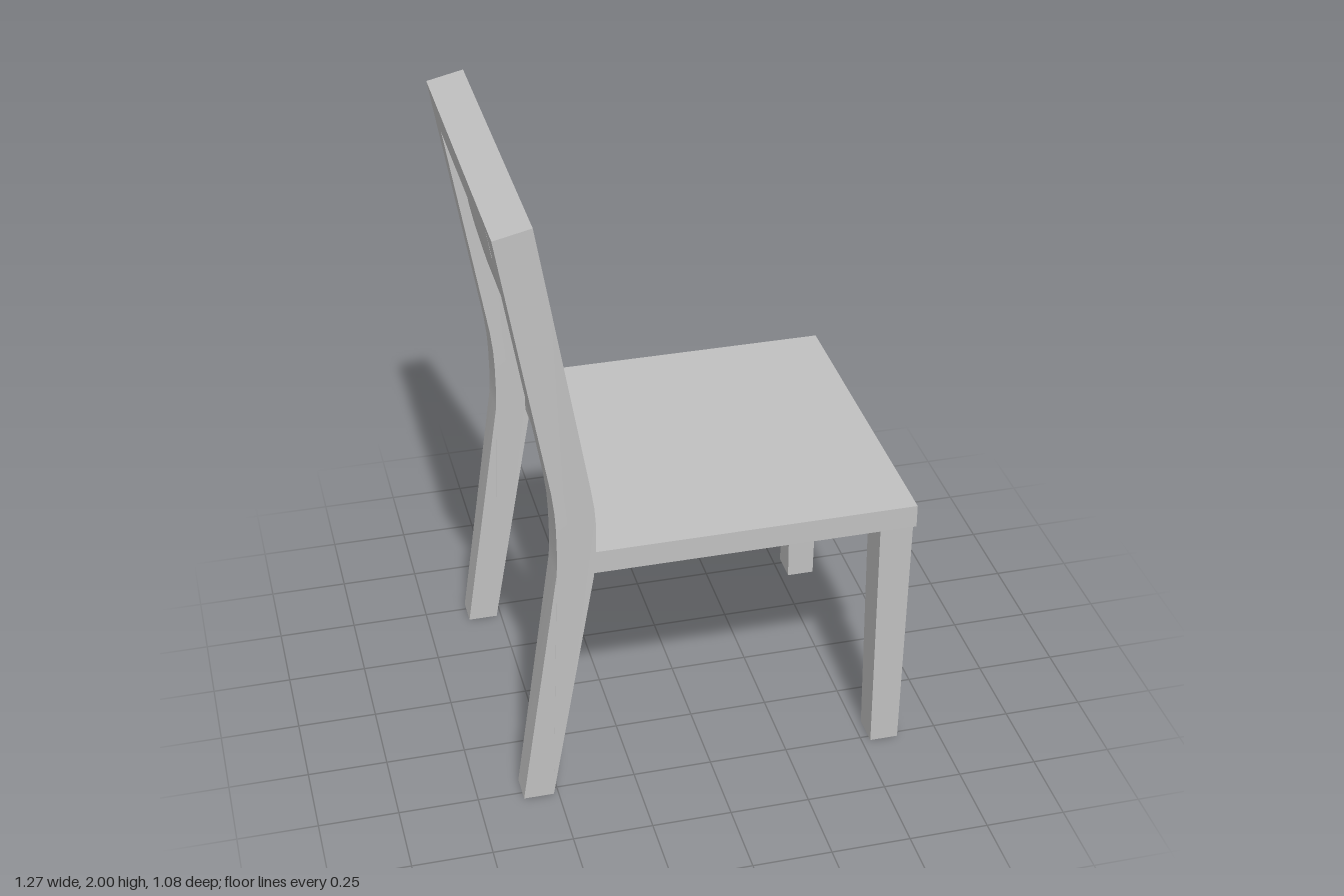
import * as THREE from 'three';
import { toCreasedNormals } from 'three/addons/utils/BufferGeometryUtils.js';

const grey = new THREE.MeshStandardMaterial({ color: 0xc0c0c0 });
grey.name = 'light grey';

// Side profile (x, y points) extruded along z between z0 and z1
function extrudeZ(points, z0, z1) {
  const shape = new THREE.Shape(points.map(([x, y]) => new THREE.Vector2(x, y)));
  const geo = new THREE.ExtrudeGeometry(shape, { depth: z1 - z0, bevelEnabled: false });
  return geo.translate(0, 0, z0);
}

// Box given by its lower and upper corners
function boxBetween(x0, y0, z0, x1, y1, z1) {
  const geo = new THREE.BoxGeometry(x1 - x0, y1 - y0, z1 - z0);
  return geo.translate((x0 + x1) / 2, (y0 + y1) / 2, (z0 + z1) / 2);
}

export function createModel() {
  const group = new THREE.Group();
  const add = (name, geo) => {
    const mesh = new THREE.Mesh(geo, grey);
    mesh.name = name;
    group.add(mesh);
  };

  // Back posts: leg and backrest upright in one bent piece
  const post = [
    [-0.61, 0], [-0.515, 0], [-0.375, 0.82], [-0.367, 0.9], [-0.366, 1.0],
    [-0.37, 1.06], [-0.38, 1.13], [-0.525, 2], [-0.64, 1.974],
    [-0.497, 1.13], [-0.489, 1.06], [-0.486, 1.0], [-0.485, 0.9], [-0.488, 0.84],
  ];
  for (const side of [1, -1]) {
    const geo = extrudeZ(post, side > 0 ? 0.425 : -0.54, side > 0 ? 0.54 : -0.425);
    const p = geo.attributes.position;
    // Narrow the leg towards the floor
    for (let i = 0; i < p.count; i++) {
      const t = Math.max(0, 1 - p.getY(i) / 0.84);
      const mid = side * 0.48;
      p.setZ(i, mid + (p.getZ(i) - mid) * (1 - 0.18 * t));
    }
    add(side > 0 ? 'backPostA' : 'backPostB', toCreasedNormals(geo, 0.4));
  }

  // Top rail between the posts
  add('topRail', extrudeZ(
    [[-0.505, 1.882], [-0.525, 2], [-0.64, 1.974], [-0.622, 1.862]], -0.425, 0.425));

  // Backrest panel, gently hollowed and set back inside the frame
  const front = [], back = [];
  for (let i = 0; i <= 12; i++) {
    const t = i / 12;
    const x = -0.465 - 0.08 * t - 0.016 * Math.sin(Math.PI * t);
    const y = 1.39 + 0.49 * t;
    front.push([x, y]);
    back.unshift([x - 0.03, y]);
  }
  add('backrestPanel', toCreasedNormals(extrudeZ([...front, ...back], -0.425, 0.425), 0.5));

  // Seat: thin board with a rim round its underside
  const [x0, x1, z, rim] = [-0.39, 0.635, 0.533, 0.035];
  add('seatBoard', boxBetween(x0, 0.865, -z, x1, 0.9, z));
  add('seatRimFront', boxBetween(x1 - rim, 0.825, -z, x1, 0.865, z));
  add('seatRimBack', boxBetween(x0, 0.825, -z, x0 + rim, 0.865, z));
  add('seatRimSideA', boxBetween(x0 + rim, 0.825, z - rim, x1 - rim, 0.865, z));
  add('seatRimSideB', boxBetween(x0 + rim, 0.825, -z, x1 - rim, 0.865, -z + rim));

  // Front legs, tapering to the floor
  for (const side of [1, -1]) {
    const geo = new THREE.BoxGeometry(0.105, 0.865, 0.12).translate(0, 0.4325, 0);
    const p = geo.attributes.position;
    for (let i = 0; i < p.count; i++) {
      if (p.getY(i) > 0.1) continue;
      p.setX(i, p.getX(i) * 0.86);
      p.setZ(i, p.getZ(i) * 0.83);
    }
    geo.computeVertexNormals();
    geo.translate(0.573, 0, side * 0.47);
    add(side > 0 ? 'frontLegA' : 'frontLegB', geo);
  }

  return group;
}
